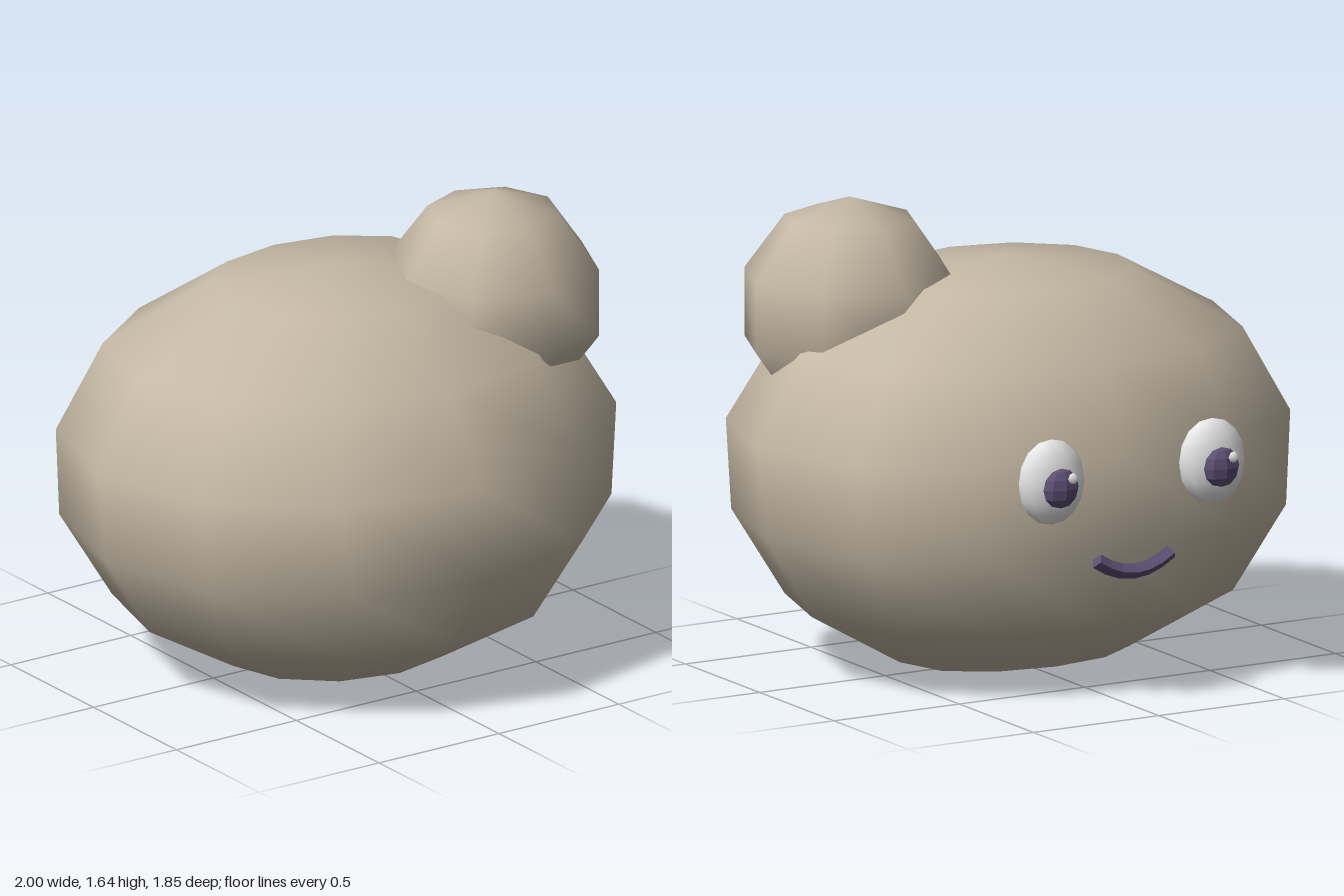
import * as THREE from 'three';
import { mergeVertices } from 'three/addons/utils/BufferGeometryUtils.js';

const mat = (name, color, flatShading = false) => {
  const m = new THREE.MeshStandardMaterial({ color, flatShading });
  m.name = name;
  return m;
};

// Low-poly sphere without a seam, so its normals stay smooth all round
function blob(radius, around, rows, reshape) {
  let g = new THREE.SphereGeometry(radius, around, rows);
  g.deleteAttribute('uv');
  g.deleteAttribute('normal');
  g = mergeVertices(g, 1e-4);
  if (reshape) {
    const p = g.attributes.position, v = new THREE.Vector3();
    for (let i = 0; i < p.count; i++) {
      reshape(v.fromBufferAttribute(p, i));
      p.setXYZ(i, v.x, v.y, v.z);
    }
  }
  g.computeVertexNormals();
  return g;
}

// Body rings from top to bottom: height, half width, front reach, back reach
const RINGS = [
  [1.425, 0, 0, 0],
  [1.37, 0.44, 0.39, 0.38],
  [1.16, 0.82, 0.69, 0.67],
  [0.86, 1.0, 0.87, 0.77],
  [0.535, 0.965, 0.9, 0.81],
  [0.235, 0.78, 0.72, 0.66],
  [0.035, 0.43, 0.38, 0.33],
  [0, 0, 0, 0],
];

function shapeBody(v) {
  const row = Math.round(Math.acos(THREE.MathUtils.clamp(v.y, -1, 1)) / Math.PI * 7);
  const [y, w, front, back] = RINGS[row];
  const a = Math.atan2(v.z, v.x), s = Math.sin(a);
  // The face side is flattened
  const z = s > 0 ? s * front : -Math.pow(-s, 0.8) * back;
  v.set(Math.cos(a) * w, y, z + 0.02);
}

export function createModel() {
  const group = new THREE.Group();
  const skin = mat('beige skin', 0xc4b8a4);
  const white = mat('eye white', 0xeeeeee);
  const dark = mat('dark purple', 0x5c4f73, true);

  const add = (name, geometry, material, x = 0, y = 0, z = 0) => {
    const m = new THREE.Mesh(geometry, material);
    m.name = name;
    m.position.set(x, y, z);
    group.add(m);
    return m;
  };

  add('body', blob(1, 12, 7, shapeBody), skin);
  add('bump', blob(0.39, 8, 5), skin, 0.51, 1.255, 0.225);

  // Eyes on the back side
  for (const [side, x] of [['left', 0.31], ['right', -0.33]]) {
    add(side + 'Eye', blob(1, 10, 8), white, x, 0.82, -0.8).scale.set(0.13, 0.15, 0.073);
    add(side + 'Pupil', blob(1, 8, 6), dark, x, 0.81, -0.865).scale.set(0.07, 0.07, 0.04);
    add(side + 'Glint', blob(0.02, 4, 4), white, x - 0.025, 0.85, -0.905);
  }

  // Smile: a square bar swept along an arc
  const r = 0.027;
  const bar = new THREE.Shape([[r, 0], [0, r], [-r, 0], [0, -r]].map(([x, y]) => new THREE.Vector2(x, y)));
  const arc = new THREE.QuadraticBezierCurve3(
    new THREE.Vector3(-0.155, 0.525, -0.82),
    new THREE.Vector3(-0.008, 0.42, -0.82),
    new THREE.Vector3(0.14, 0.525, -0.82),
  );
  add('mouth', new THREE.ExtrudeGeometry(bar, { steps: 6, extrudePath: arc }), dark);

  return group;
}
